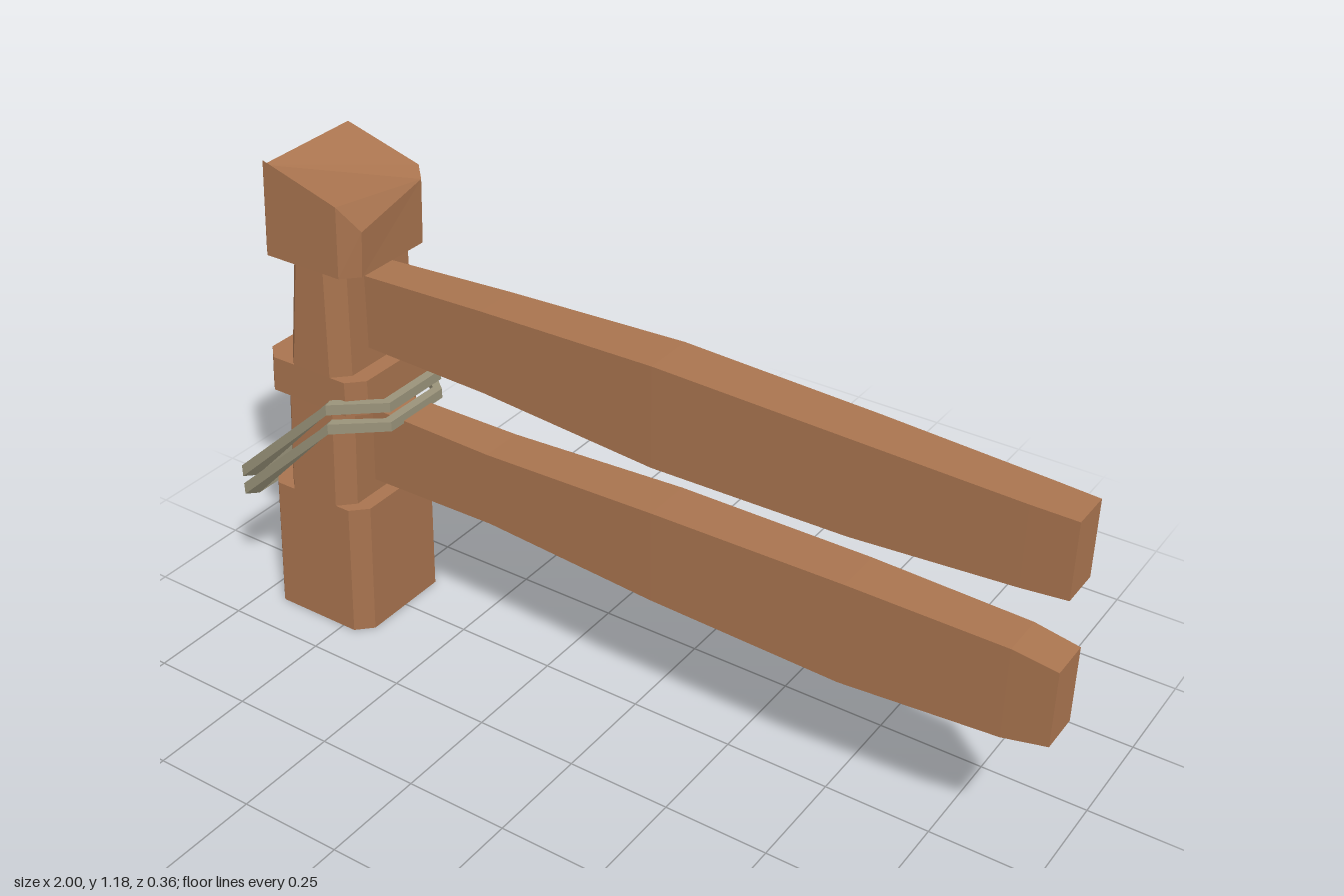
import * as THREE from 'three';

// Skin a list of rings (counter-clockwise seen from the far end), with optional end caps
function loft(rings, { closed = false, topCap = null } = {}) {
  const pos = [];
  const n = rings[0].length;
  const tri = (a, b, c) => pos.push(...a, ...b, ...c);
  const count = closed ? rings.length : rings.length - 1;
  for (let r = 0; r < count; r++) {
    const a = rings[r], b = rings[(r + 1) % rings.length];
    for (let i = 0; i < n; i++) {
      const j = (i + 1) % n;
      tri(a[i], a[j], b[j]);
      tri(a[i], b[j], b[i]);
    }
  }
  if (!closed) {
    const first = rings[0], last = rings[rings.length - 1];
    const fan = [];
    for (let i = 1; i < n - 1; i++) {
      tri(first[0], first[i + 1], first[i]);
      fan.push([0, i, i + 1]);
    }
    for (const [i, j, k] of topCap || fan) tri(last[i], last[j], last[k]);
  }
  const g = new THREE.BufferGeometry();
  g.setAttribute('position', new THREE.Float32BufferAttribute(pos, 3));
  g.computeVertexNormals();
  return g;
}

// Rectangle with cut corners; y may be one height or one per corner
function postRing(y, x0, x1, z, c = 0.036) {
  const w = z - c;
  return [
    [x1, w], [x1, -w], [x1 - c, -z], [x0 + c, -z],
    [x0, -w], [x0, w], [x0 + c, z], [x1 - c, z],
  ].map(([px, pz], i) => [px, Array.isArray(y) ? y[i] : y, pz]);
}

export function createModel() {
  const group = new THREE.Group();
  const wood = new THREE.MeshStandardMaterial({ color: 0xa9744f, flatShading: true });
  wood.name = 'wood';
  const cord = new THREE.MeshStandardMaterial({ color: 0x9a937a, flatShading: true });
  cord.name = 'cord';
  const add = (name, geometry, material) => {
    const mesh = new THREE.Mesh(geometry, material);
    mesh.name = name;
    group.add(mesh);
  };

  // Leaning post with notched necks and a roughly hewn top
  const topHeights = [1.058, 1.105, 1.117, 1.172, 1.145, 1.145, 1.178, 1.12];
  add('post', loft([
    postRing(0, -0.975, -0.68, 0.15),
    postRing(0.347, -0.955, -0.667, 0.146),
    postRing(0.347, -0.905, -0.705, 0.146),
    postRing(0.605, -0.888, -0.692, 0.142),
    postRing(0.605, -0.937, -0.65, 0.142),
    postRing(0.692, -0.93, -0.648, 0.142),
    postRing(0.692, -0.868, -0.69, 0.142),
    postRing(0.95, -0.835, -0.685, 0.138),
    postRing(0.95, -0.917, -0.64, 0.138),
    postRing(topHeights, -0.902, -0.632, 0.137),
  ], { topCap: [[5, 6, 7], [5, 7, 1], [5, 1, 2], [5, 2, 3], [5, 3, 4], [7, 0, 1]] }), wood);

  // Rails: x, bottom, top, back z, front z at each station
  const rail = (name, stations) => add(name, loft(stations.map(([x, y0, y1, z0, z1]) =>
    [[x, y0, z0], [x, y1, z0], [x, y1, z1], [x, y0, z1]])), wood);
  rail('upperRail', [
    [-0.74, 0.738, 0.915, -0.045, 0.046],
    [-0.36, 0.73, 0.93, -0.054, 0.052],
    [0.08, 0.702, 0.942, -0.062, 0.06],
    [0.54, 0.706, 0.927, -0.058, 0.056],
    [0.9, 0.728, 0.914, -0.05, 0.051],
    [1, 0.737, 0.912, -0.044, 0.049],
  ]);
  rail('lowerRail', [
    [-0.74, 0.38, 0.578, -0.046, 0.045],
    [-0.36, 0.39, 0.573, -0.053, 0.052],
    [0.08, 0.364, 0.589, -0.06, 0.06],
    [0.54, 0.345, 0.591, -0.058, 0.057],
    [0.9, 0.365, 0.583, -0.054, 0.05],
    [1, 0.384, 0.566, -0.052, 0.045],
  ]);

  // Slanted cord loops: outer x/z, inner x/z, height, half thickness
  const half = [
    [-1, 0.18, -0.976, 0.157, 0.368, 0.015],
    [-0.71, 0.18, -0.716, 0.157, 0.632, 0.013],
    [-0.6, 0.09, -0.622, 0.084, 0.632, 0.012],
  ];
  const mirrored = half.map(([xo, zo, xi, zi, y, t]) => [xo, -zo, xi, -zi, y, t]).reverse();
  const loop = [...half, ...mirrored];
  [['upperCord', 0], ['lowerCord', -0.05]].forEach(([name, dy]) => {
    const rings = loop.map(([xo, zo, xi, zi, y, t]) => [
      [xo, y + dy - t, zo], [xo, y + dy + t, zo],
      [xi, y + dy + t, zi], [xi, y + dy - t, zi],
    ].reverse());
    add(name, loft(rings, { closed: true }), cord);
  });

  return group;
}
